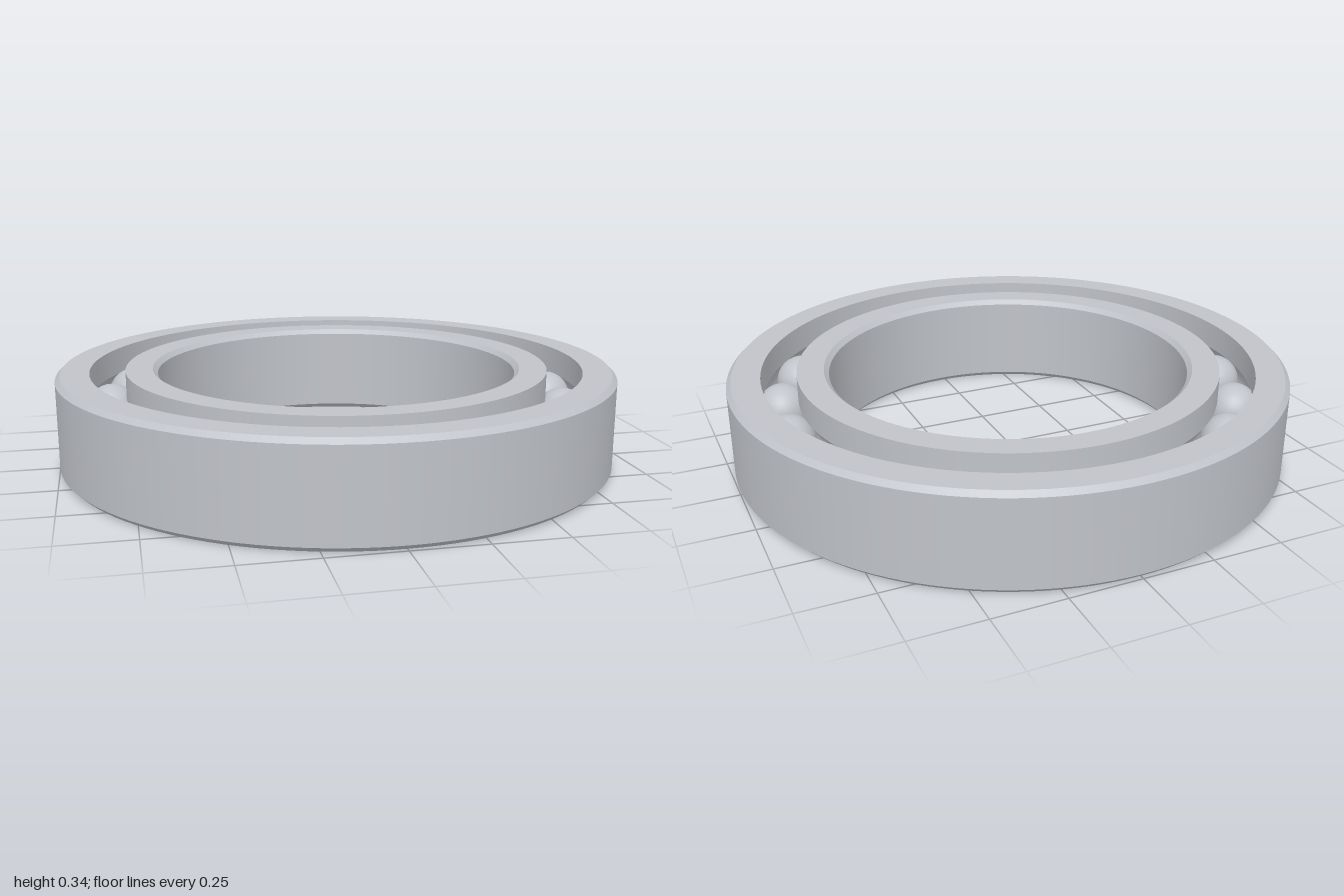
import * as THREE from 'three';
import { mergeGeometries } from 'three/addons/utils/BufferGeometryUtils.js';

const HEIGHT = 0.34, MID = HEIGHT / 2;
const PITCH = 0.82, BALL_RADIUS = 0.095, BALL_COUNT = 19;
const CHAMFER = 0.017, SEGMENTS = 128;

// Revolves each profile run on its own, so the edges between runs stay sharp
function revolve(runs) {
  return mergeGeometries(runs.map((run) =>
    new THREE.LatheGeometry(run.map(([r, y]) => new THREE.Vector2(r, y)), SEGMENTS)));
}

// Ring with a chamfered plain wall and a shoulder wall holding the ball groove.
// side = 1 for the outer ring, -1 for the inner ring.
function ringGeometry(wall, shoulder, side) {
  const chamfered = wall - side * CHAMFER;
  const half = Math.acos(Math.abs(shoulder - PITCH) / BALL_RADIUS);
  const groove = [];
  for (let i = 0; i <= 16; i++) {
    const a = half - (2 * half * i) / 16;
    groove.push([PITCH + side * BALL_RADIUS * Math.cos(a), MID + BALL_RADIUS * Math.sin(a)]);
  }
  const runs = [
    [[shoulder, 0], [chamfered, 0]],
    [[chamfered, 0], [wall, CHAMFER]],
    [[wall, CHAMFER], [wall, HEIGHT - CHAMFER]],
    [[wall, HEIGHT - CHAMFER], [chamfered, HEIGHT]],
    [[chamfered, HEIGHT], [shoulder, HEIGHT]],
    [[shoulder, HEIGHT], groove[0]],
    groove,
    [groove[16], [shoulder, 0]],
  ];
  // The inner ring is traced the other way round, so its runs are reversed
  return revolve(side > 0 ? runs : runs.map((run) => run.slice().reverse()));
}

export function createModel() {
  const model = new THREE.Group();
  model.name = 'ballBearing';
  const steel = new THREE.MeshStandardMaterial({ color: 0xc0c3c9 });
  steel.name = 'steel';

  // Races
  const outerRing = new THREE.Mesh(ringGeometry(1, 0.882, 1), steel);
  outerRing.name = 'outerRing';
  const innerRing = new THREE.Mesh(ringGeometry(0.645, 0.758, -1), steel);
  innerRing.name = 'innerRing';
  model.add(outerRing, innerRing);

  // Balls, evenly spaced from +x
  const balls = new THREE.Group();
  balls.name = 'balls';
  const ballGeometry = new THREE.SphereGeometry(BALL_RADIUS, 32, 20);
  for (let i = 0; i < BALL_COUNT; i++) {
    const a = (i / BALL_COUNT) * Math.PI * 2;
    const ball = new THREE.Mesh(ballGeometry, steel);
    ball.name = `ball${i + 1}`;
    ball.position.set(PITCH * Math.cos(a), MID, PITCH * Math.sin(a));
    balls.add(ball);
  }
  model.add(balls);
  return model;
}
